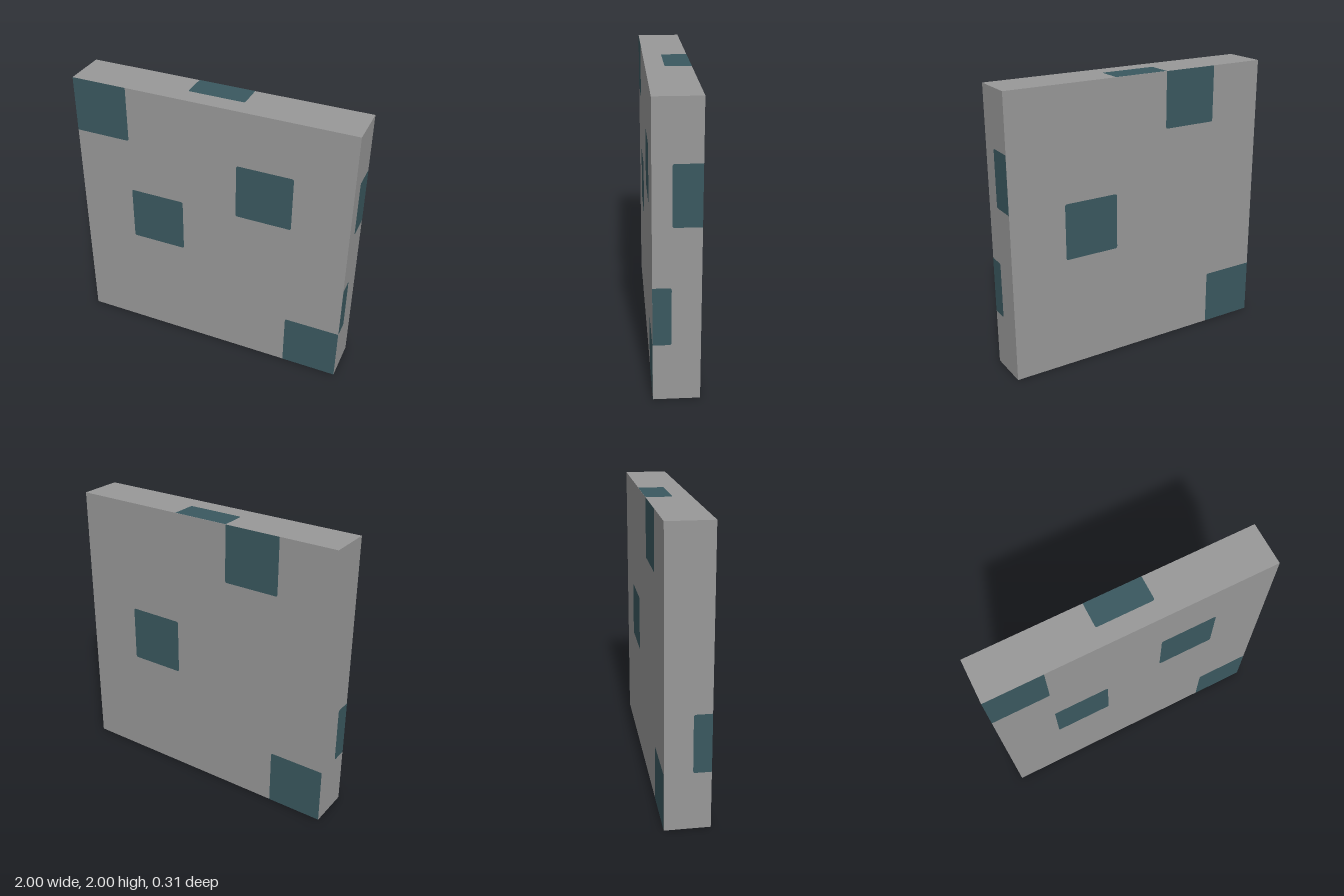
import * as THREE from 'three';

const HALF = 1, DEPTH = 0.306, HZ = DEPTH / 2;
const LIFT = 0.001, RADIUS = 0.015;

const grey = new THREE.MeshStandardMaterial({ color: 0x989898 });
grey.name = 'stone grey';
const teal = new THREE.MeshStandardMaterial({ color: 0x3a585f });
teal.name = 'dark teal';

// Rectangle whose corners are rounded except where they touch the face's edge
function patchGeometry([x0, y0, x1, y1], hw, hh) {
  const onEdge = (x, y) => Math.abs(x) > hw - 1e-4 || Math.abs(y) > hh - 1e-4;
  const corners = [[x0, y0], [x1, y0], [x1, y1], [x0, y1]];
  const shape = new THREE.Shape();
  corners.forEach(([x, y], i) => {
    const prev = corners[(i + 3) % 4], next = corners[(i + 1) % 4];
    const r = onEdge(x, y) ? 0 : RADIUS;
    const ax = x + Math.sign(prev[0] - x) * r, ay = y + Math.sign(prev[1] - y) * r;
    const bx = x + Math.sign(next[0] - x) * r, by = y + Math.sign(next[1] - y) * r;
    if (i === 0) shape.moveTo(ax, ay); else shape.lineTo(ax, ay);
    if (r) shape.quadraticCurveTo(x, y, bx, by);
  });
  shape.closePath();
  return new THREE.ShapeGeometry(shape, 4);
}

// Each face: rotation, distance from the centre, half size, patches [x0, y0, x1, y1]
const Q = Math.PI / 2;
const FACES = [
  { name: 'front', rot: [0, 0], dist: HZ, hw: HALF, hh: HALF,
    patches: [[-1, 0.6, -0.6, 1], [0.2, 0.2, 0.6, 0.6], [-0.6, -0.2, -0.2, 0.2], [0.6, -1, 1, -0.6]] },
  { name: 'back', rot: [0, Math.PI], dist: HZ, hw: HALF, hh: HALF,
    patches: [[0.2, 0.6, 0.6, 1], [-0.6, -0.2, -0.2, 0.2], [0.6, -1, 1, -0.6]] },
  { name: 'left', rot: [0, Q], dist: HALF, hw: HZ, hh: HALF,
    patches: [[-0.03, 0.2, HZ, 0.6], [-HZ, -0.6, -0.033, -0.2]] },
  { name: 'right', rot: [0, -Q], dist: HALF, hw: HZ, hh: HALF,
    patches: [[0.033, -0.6, HZ, -0.2]] },
  { name: 'top', rot: [-Q, 0], dist: HALF, hw: HALF, hh: HZ,
    patches: [[-0.2, -0.025, 0.2, HZ]] },
  { name: 'bottom', rot: [Q, 0], dist: HALF, hw: HALF, hh: HZ,
    patches: [[-0.2, -HZ, 0.2, 0.025]] },
];

export function createModel() {
  const model = new THREE.Group();
  model.name = 'patchedPanel';

  // Solid square slab
  const slab = new THREE.Mesh(new THREE.BoxGeometry(2 * HALF, 2 * HALF, DEPTH), grey);
  slab.name = 'slab';
  slab.position.y = HALF;
  model.add(slab);

  // Painted patches, grouped by face
  for (const { name, rot, dist, hw, hh, patches } of FACES) {
    const face = new THREE.Group();
    face.name = `${name}Patches`;
    face.position.y = HALF;
    face.rotation.set(rot[0], rot[1], 0);
    patches.forEach((rect, i) => {
      const patch = new THREE.Mesh(patchGeometry(rect, hw, hh), teal);
      patch.name = `${name}Patch${i + 1}`;
      patch.position.z = dist + LIFT;
      face.add(patch);
    });
    model.add(face);
  }
  return model;
}
